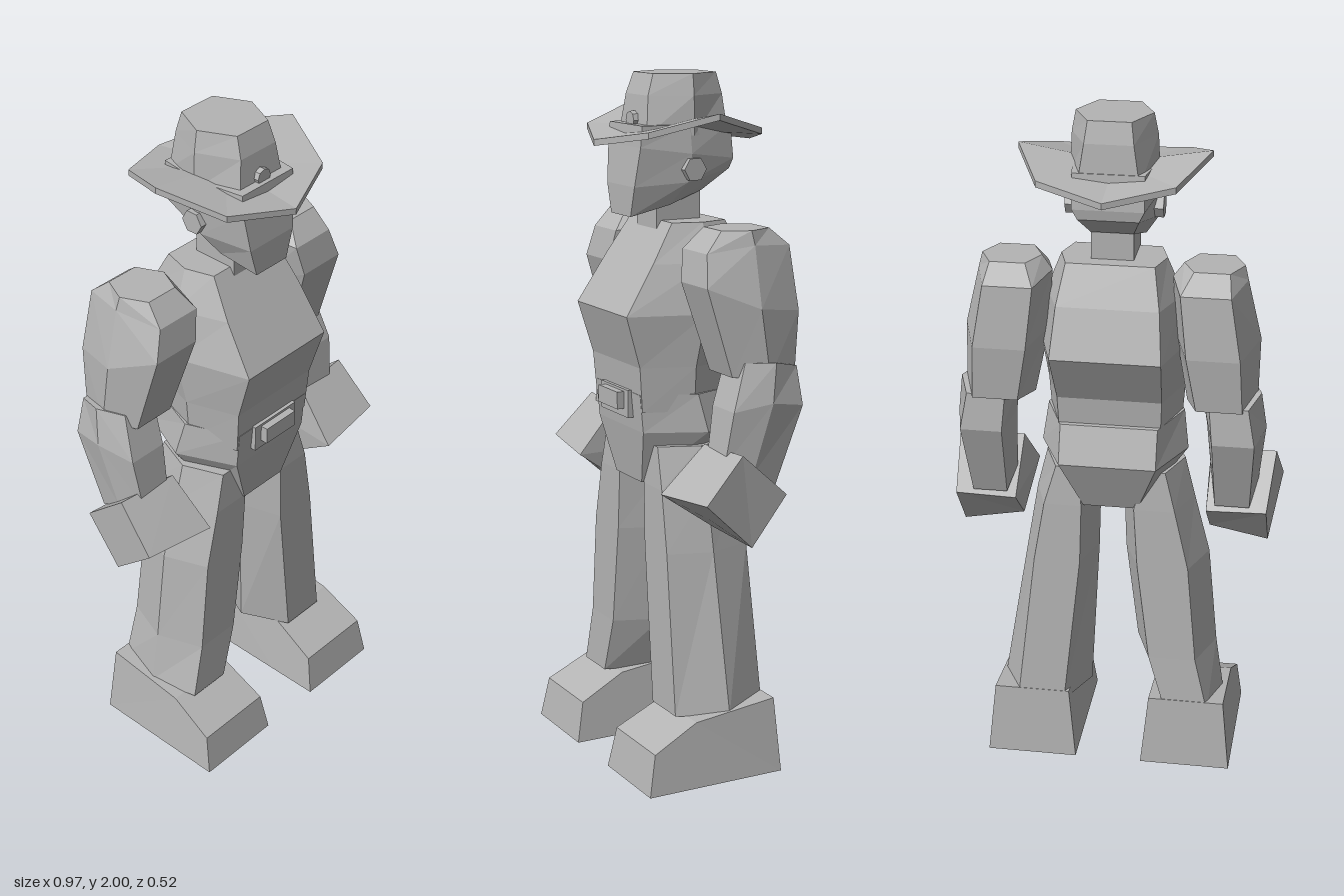
import * as THREE from 'three';

// Closed flat-faced solid through equal-length rings of [x, y, z] points
function loft(rings) {
  const pos = [];
  const tri = (a, b, c) => pos.push(...a, ...b, ...c);
  const n = rings[0].length;
  for (let r = 0; r + 1 < rings.length; r++) {
    const A = rings[r], B = rings[r + 1];
    for (let i = 0; i < n; i++) {
      const j = (i + 1) % n;
      tri(A[i], A[j], B[j]);
      tri(A[i], B[j], B[i]);
    }
  }
  const cap = (ring, flip) => {
    const c = [0, 1, 2].map(k => ring.reduce((s, p) => s + p[k], 0) / n);
    ring.forEach((p, i) => {
      const q = ring[(i + 1) % n];
      if (flip) tri(c, q, p); else tri(c, p, q);
    });
  };
  cap(rings[0], true);
  cap(rings[rings.length - 1], false);
  // Turn the solid right side out when its signed volume is negative
  let volume = 0;
  const v = i => new THREE.Vector3(pos[i], pos[i + 1], pos[i + 2]);
  const o = v(0);
  for (let i = 0; i < pos.length; i += 9) {
    volume += v(i).sub(o).dot(v(i + 3).sub(o).cross(v(i + 6).sub(o)));
  }
  if (volume < 0) {
    for (let i = 0; i < pos.length; i += 9) {
      for (let k = 0; k < 3; k++) [pos[i + k], pos[i + 3 + k]] = [pos[i + 3 + k], pos[i + k]];
    }
  }
  const g = new THREE.BufferGeometry();
  g.setAttribute('position', new THREE.Float32BufferAttribute(pos, 3));
  g.computeVertexNormals();
  return g;
}

// Six-sided ring with flat front and back; y may be [front, side, back]
function hex(y, cx, rx, panel, zf, zb, zm = (zf + zb) / 2) {
  const [yf, ys, yb] = Array.isArray(y) ? y : [y, y, y];
  return [
    [cx + rx, ys, zm], [cx + panel, yf, zf], [cx - panel, yf, zf],
    [cx - rx, ys, zm], [cx - panel, yb, zb], [cx + panel, yb, zb],
  ];
}

// Four-cornered slice across x for shoes and hands
const slice = (y, z, x0, x1) => [[x0, y, z], [x1, y, z]];

const mirror = rings => rings.map(r => r.map(([x, y, z]) => [-x, y, z]));

export function createModel() {
  const model = new THREE.Group();
  model.name = 'figure';
  const grey = new THREE.MeshStandardMaterial({ color: 0xb4b4b4, flatShading: true });
  grey.name = 'plain grey';
  const add = (name, geometry, x = 0, y = 0, z = 0) => {
    const m = new THREE.Mesh(geometry, grey);
    m.name = name;
    m.position.set(x, y, z);
    model.add(m);
    return m;
  };
  const pair = (name, rings) => {
    add(name + 'Left', loft(rings));
    add(name + 'Right', loft(mirror(rings)));
  };

  // Torso and hips
  add('torso', loft([
    hex(1.59, 0, 0.15, 0.125, 0.06, -0.11),
    hex(1.48, 0, 0.195, 0.145, 0.13, -0.165),
    hex(1.34, 0, 0.22, 0.157, 0.22, -0.215),
    hex(1.19, 0, 0.2, 0.15, 0.175, -0.13),
    hex(1.06, 0, 0.19, 0.145, 0.165, -0.12),
  ]));
  add('hips', loft([
    hex(1.11, 0, 0.2, 0.14, 0.17, -0.14),
    hex(1.0, 0, 0.215, 0.14, 0.16, -0.18),
    hex(0.84, 0, 0.1, 0.08, 0.135, -0.11),
  ]));
  add('beltPlate', new THREE.BoxGeometry(0.17, 0.08, 0.03), 0, 1.075, 0.165);
  add('buckle', new THREE.BoxGeometry(0.12, 0.05, 0.05), 0, 1.083, 0.177);

  // Neck and head
  add('neck', new THREE.BoxGeometry(0.12, 0.16, 0.14), 0, 1.63, 0.005);
  add('head', loft([
    hex(1.86, 0, 0.12, 0.1, 0.14, -0.14),
    hex([1.8, 1.78, 1.76], 0, 0.128, 0.1, 0.145, -0.15),
    hex([1.69, 1.7, 1.73], 0, 0.12, 0.085, 0.157, -0.145),
    hex([1.605, 1.635, 1.67], 0, 0.08, 0.06, 0.157, -0.07),
  ]));
  for (const s of [1, -1]) {
    const ear = add(s > 0 ? 'earLeft' : 'earRight',
      new THREE.CylinderGeometry(0.035, 0.035, 0.03, 6), s * 0.123, 1.737, -0.008);
    ear.rotation.z = Math.PI / 2;
  }

  // Hat: saddle-shaped brim, six-sided crown and round badge
  const brim = drop => [
    [0.27, 1.9, -0.01], [0.19, 1.85, 0.168], [0, 1.82, 0.24], [-0.19, 1.85, 0.168],
    [-0.27, 1.9, -0.01], [-0.19, 1.85, -0.19], [0, 1.82, -0.262], [0.19, 1.85, -0.19],
  ].map(([x, y, z]) => [x, y - drop, z]);
  add('hatBrim', loft([brim(0), brim(0.018)]));
  add('hatCrown', loft([
    hex(2.0, 0, 0.108, 0.06, 0.085, -0.115),
    hex(1.94, 0, 0.12, 0.068, 0.105, -0.13),
    hex(1.83, 0, 0.125, 0.085, 0.118, -0.14),
  ]));
  const badge = add('hatBadge', new THREE.CylinderGeometry(0.025, 0.025, 0.025, 8), 0, 1.87, 0.115);
  badge.rotation.x = Math.PI / 2;

  // Arms
  pair('upperArm', [
    hex(1.59, 0.285, 0.085, 0.05, 0.02, -0.13),
    hex([1.53, 1.55, 1.54], 0.275, 0.105, 0.07, 0.07, -0.19),
    hex([1.44, 1.38, 1.36], 0.3, 0.12, 0.075, 0.085, -0.205),
    hex([1.19, 1.19, 1.2], 0.318, 0.1, 0.065, 0.01, -0.19),
  ]);
  pair('forearm', [
    hex([1.23, 1.23, 1.21], 0.345, 0.085, 0.055, -0.02, -0.185),
    hex([1.1, 1.12, 1.1], 0.36, 0.085, 0.06, 0.025, -0.195),
    hex([0.95, 0.92, 0.87], 0.355, 0.068, 0.05, 0.045, -0.115),
  ]);
  // Tilted block hands, widest at the knuckles
  pair('hand', [
    [[0.28, 0.985, 0.04], [0.47, 0.99, 0.025], [0.455, 0.86, -0.125], [0.28, 0.85, -0.115]],
    [[0.26, 0.85, 0.168], [0.485, 0.865, 0.145], [0.455, 0.72, -0.015], [0.28, 0.74, 0.01]],
  ]);

  // Legs: the right leg turns in at the shin
  add('legLeft', loft([
    hex(0.96, 0.13, 0.075, 0.03, 0.125, -0.11),
    hex(0.84, 0.14, 0.095, 0.055, 0.13, -0.12),
    hex(0.66, 0.157, 0.108, 0.068, 0.13, -0.13),
    hex(0.19, 0.207, 0.135, 0.07, 0.13, -0.155),
  ]));
  add('legRight', loft([
    hex(0.96, -0.13, 0.075, 0.03, 0.125, -0.11),
    hex(0.84, -0.13, 0.105, 0.06, 0.13, -0.12),
    hex(0.66, -0.157, 0.125, 0.075, 0.13, -0.13),
    hex(0.36, -0.19, 0.12, 0.07, 0.13, -0.145),
    hex(0.19, -0.235, 0.1, 0.065, 0.135, -0.155),
  ]));

  // Shoes: sections from heel to toe
  const shoe = (z, top, zTop, inset) => [
    ...slice(0, z, 0.1, 0.37),
    ...slice(top, zTop, 0.1 + inset, 0.37 - inset).reverse(),
  ];
  pair('shoe', [
    shoe(-0.17, 0.22, -0.155, 0.022),
    shoe(0.1, 0.19, 0.1, 0.022),
    shoe(0.26, 0.12, 0.237, 0.014),
  ]);
  return model;
}
